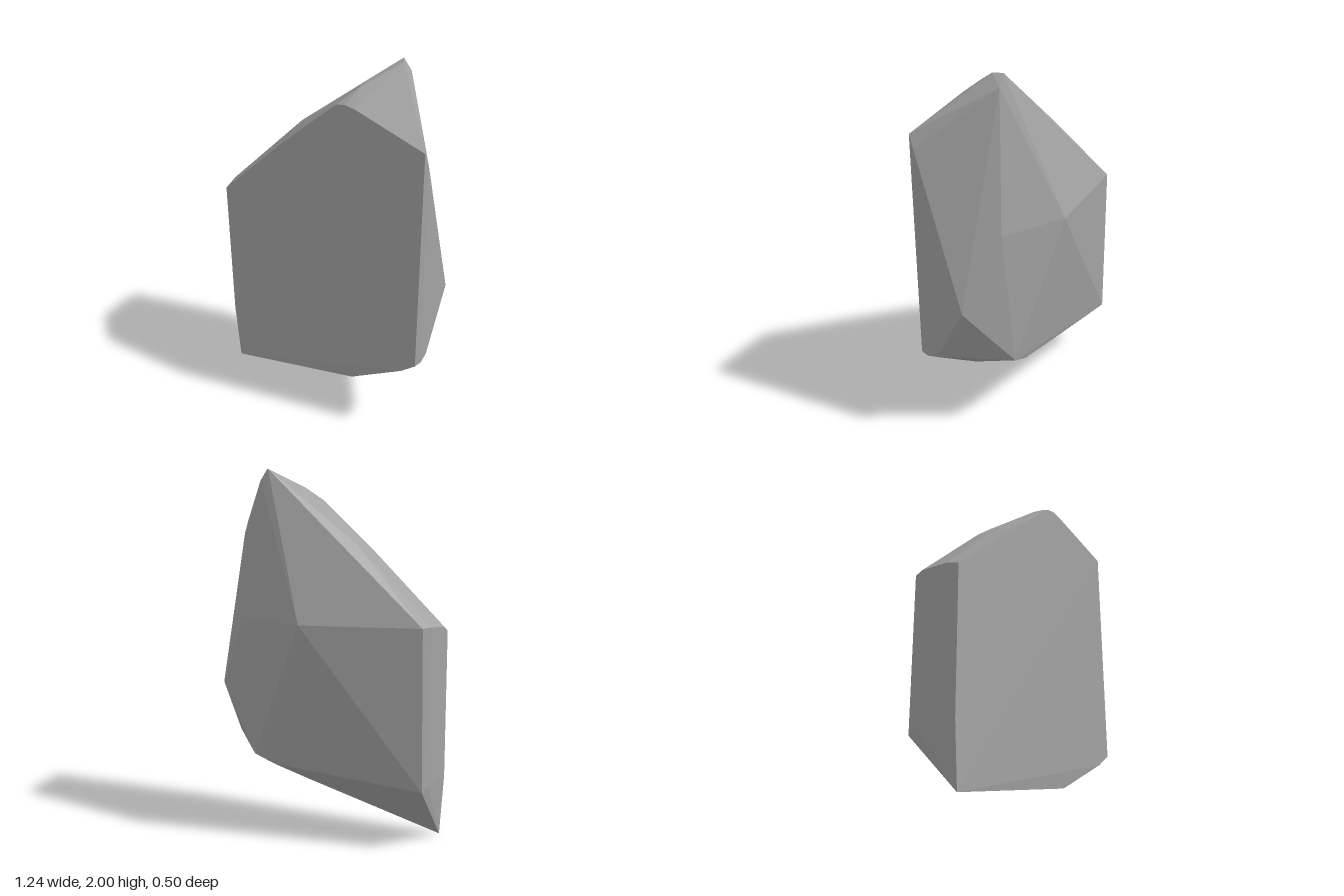
import * as THREE from 'three';
import { ConvexGeometry } from 'three/addons/geometries/ConvexGeometry.js';

const stone = new THREE.MeshStandardMaterial({ color: 0xa3a3a3, flatShading: true });
stone.name = 'stone grey';

export function createModel() {
  const group = new THREE.Group();
  group.name = 'rock';

  // Outline of the flat front face, at z = 0.25
  const front = [
    [-0.6, 0], [-0.622, 0.34], [-0.622, 1.15], [-0.2, 1.55], [0.12, 1.83],
    [0.17, 1.84], [0.23, 1.83], [0.615, 1.71], [0.615, 0.47], [0.53, 0.4],
  ].map(([x, y]) => [x, y, 0.25]);

  // Chipped slope along the top
  const slope = [
    [-0.622, 1.18, 0.175], [-0.622, 1.2, 0], [-0.6, 1.2, -0.067],
    [-0.2, 1.59, 0.16], [-0.2, 1.61, 0.1], [-0.2, 1.61, 0],
    [0.19, 1.9, 0.165], [0.19, 1.915, 0.1],
  ];

  // Peak
  const peak = [[0.29, 2, -0.075], [0.32, 2, -0.03], [0.33, 1.94, -0.085]];

  // Ridges of the back and the right side
  const back = [
    [0.02, 1.2, -0.25], [0.41, 1.21, -0.155], [0.605, 0.81, -0.055],
    [0.62, 1.64, 0.22], [0.62, 0.465, 0.2], [0.615, 0.48, 0.14],
  ];

  // Undercut base
  const base = [
    [0.335, 0.45, -0.172], [0.225, 0.4, -0.15], [0.21, 0.2, 0.24],
    [-0.61, 0.33, -0.06], [-0.622, 0.36, 0],
  ];

  const points = [...front, ...slope, ...peak, ...back, ...base].map((p) => new THREE.Vector3(...p));
  const rock = new THREE.Mesh(new ConvexGeometry(points), stone);
  rock.name = 'rockBody';
  group.add(rock);
  return group;
}
